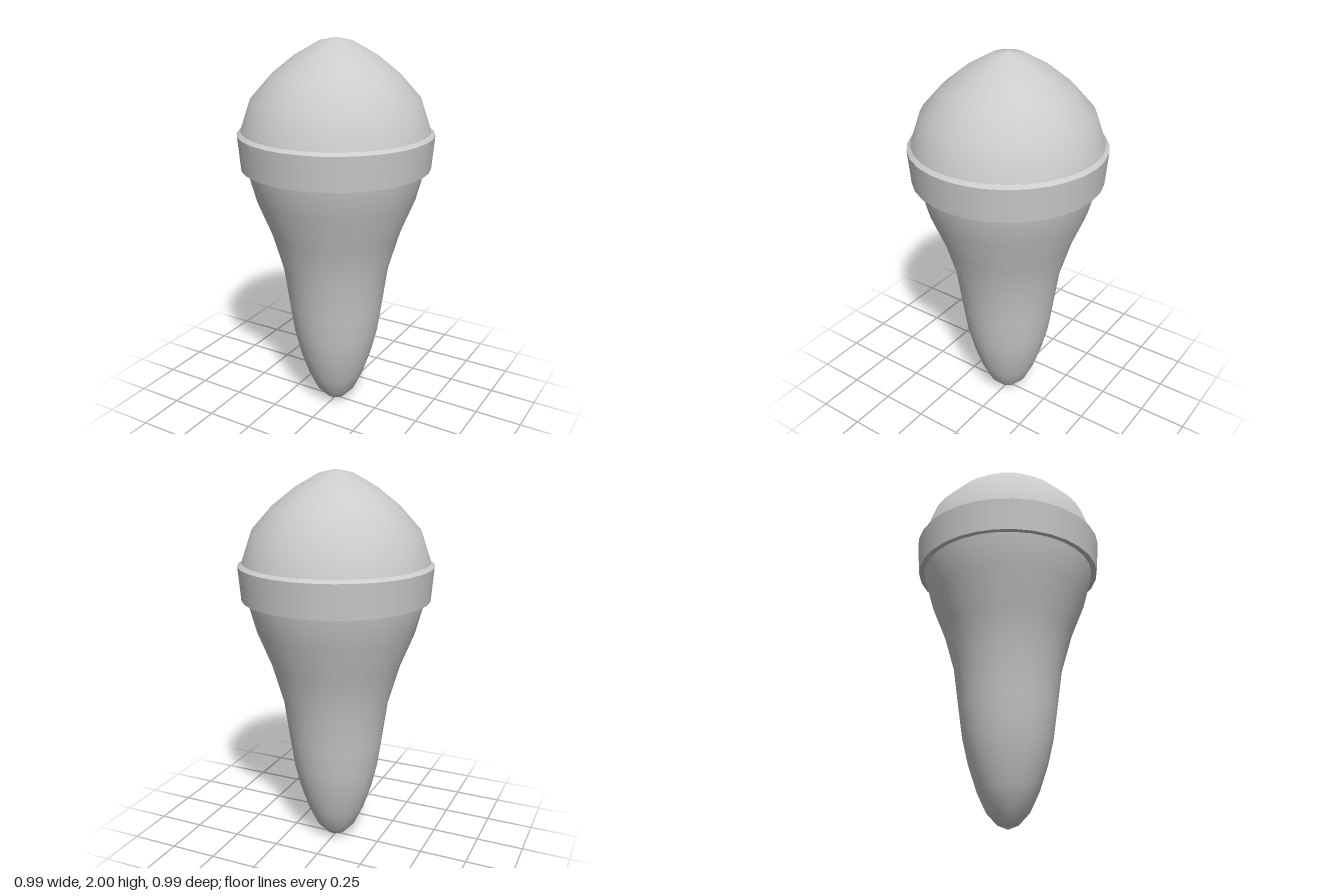
import * as THREE from 'three';

const SEGMENTS = 32;

// Revolve a bottom-to-top list of [radius, height] points about the y axis
function lathe(name, profile) {
  const points = profile.map(([r, y]) => new THREE.Vector2(r, y));
  const material = new THREE.MeshStandardMaterial({ color: 0xcccccc, side: THREE.DoubleSide });
  const mesh = new THREE.Mesh(new THREE.LatheGeometry(points, SEGMENTS), material);
  mesh.name = name;
  return mesh;
}

export function createModel() {
  const group = new THREE.Group();
  group.name = 'taperedBodyWithDome';

  // Tapered body with a rounded tip, running up inside the collar
  group.add(lathe('taperedBody', [
    [0, 0], [0.053, 0.022], [0.106, 0.08], [0.153, 0.18], [0.196, 0.31],
    [0.227, 0.44], [0.25, 0.6], [0.279, 0.81], [0.338, 1.015],
    [0.41, 1.195], [0.455, 1.364], [0.475, 1.53],
  ]));

  // Domed top rising to a soft point
  group.add(lathe('dome', [
    [0.475, 1.53], [0.477, 1.55], [0.424, 1.705], [0.32, 1.822],
    [0.207, 1.912], [0.085, 1.982], [0, 2],
  ]));

  // Collar: separate strips keep its edges sharp
  group.add(lathe('collarUnderside', [[0.455, 1.364], [0.483, 1.362]]));
  group.add(lathe('collarBand', [[0.483, 1.362], [0.497, 1.534]]));
  group.add(lathe('collarTop', [[0.497, 1.534], [0.476, 1.55]]));

  return group;
}
